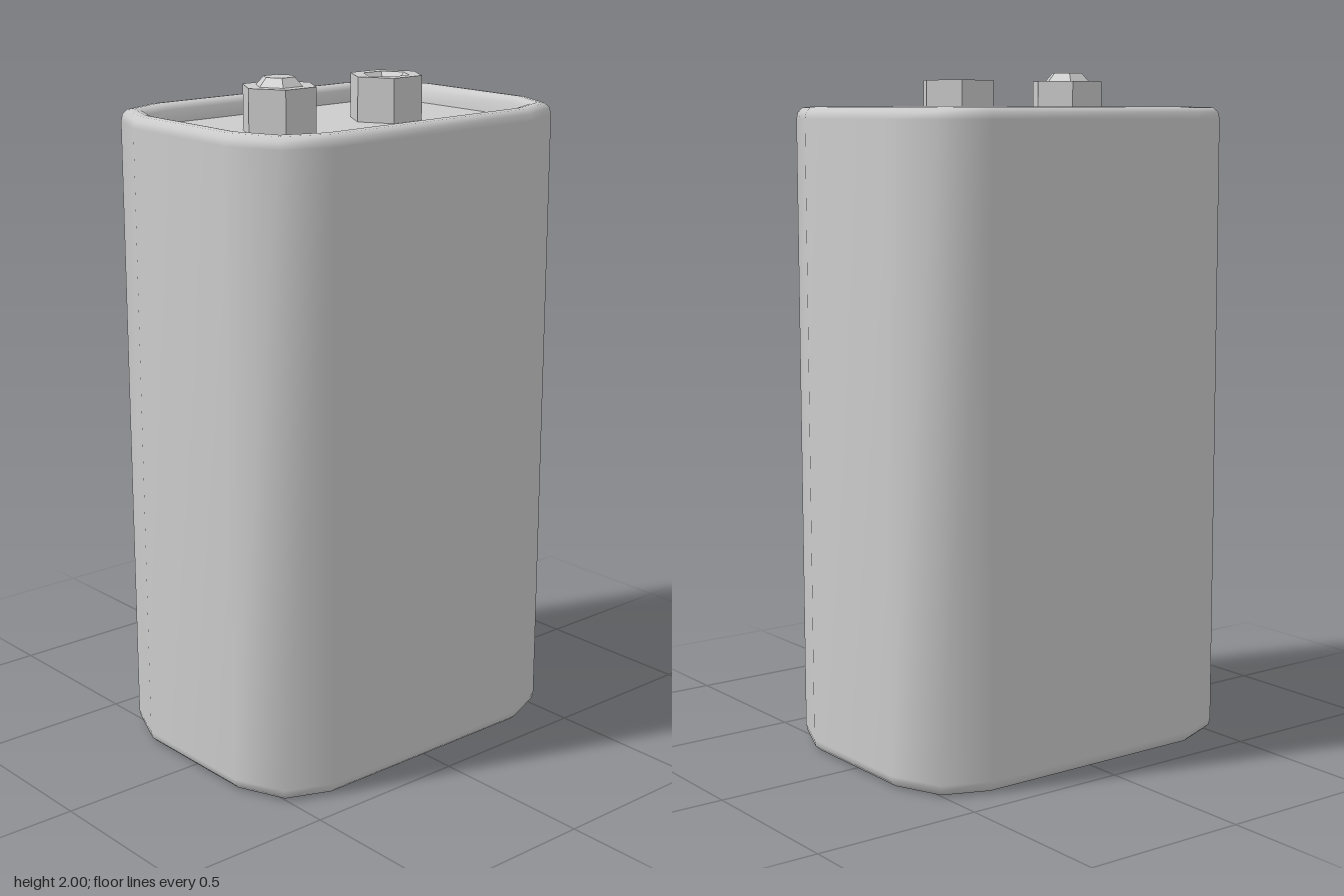
import * as THREE from 'three';

const material = new THREE.MeshStandardMaterial({ color: 0xcccccc });
const facetedMaterial = new THREE.MeshStandardMaterial({ color: 0xcccccc, flatShading: true });

// Mirror one quarter of a chamfered outline into a closed 12-sided loop.
function mirrorQuarter(quarter) {
  const back = [...quarter].reverse();
  return [
    ...quarter,
    ...back.map(([x, z]) => [-x, z]),
    ...quarter.map(([x, z]) => [-x, -z]),
    ...back.map(([x, z]) => [x, -z]),
  ];
}

const outer = mirrorQuarter([[0.573, 0.205], [0.51, 0.355], [0.37, 0.413]]);
const inner = mirrorQuarter([[0.503, 0.192], [0.458, 0.298], [0.355, 0.339]]);

// Casing: rings [inset, y] run from the bottom recess, up the wall, into the top recess.
function casingGeometry() {
  const rim = [[0, 0.035], [0.06, 0.015], [0.25, 0.002], [0.5, 0], [0.75, 0.004], [0.93, 0.018], [1, 0.055]];
  const rings = [...[...rim].reverse(), ...rim.map(([t, y]) => [t, 1.9 - y])];
  const n = outer.length;
  const positions = [];
  const index = [];
  rings.forEach(([t, y], j) => {
    for (let i = 0; i < n; i++) {
      positions.push(
        THREE.MathUtils.lerp(outer[i][0], inner[i][0], t),
        y,
        THREE.MathUtils.lerp(outer[i][1], inner[i][1], t)
      );
      if (j === rings.length - 1) continue;
      const a = j * n + i;
      const b = j * n + ((i + 1) % n);
      index.push(a, a + n, b, b, a + n, b + n);
    }
  });
  const geometry = new THREE.BufferGeometry();
  geometry.setAttribute('position', new THREE.Float32BufferAttribute(positions, 3));
  geometry.setIndex(index);
  geometry.computeVertexNormals();
  return geometry;
}

// Flat recessed end panel; facing is 1 for up, -1 for down.
function panelGeometry(y, facing) {
  const shape = new THREE.Shape(inner.map(([x, z]) => new THREE.Vector2(x, z)));
  return new THREE.ShapeGeometry(shape).rotateX(-facing * Math.PI / 2).translate(0, y, 0);
}

// Hexagonal terminal whose tip is either raised or sunken.
function terminalGeometry(tipY) {
  const profile = [[0.11, 1.84], [0.11, 1.975], [0.07, 1.975], [0.047, tipY], [0, tipY]];
  const points = profile.map(([r, y]) => new THREE.Vector2(r, y));
  return new THREE.LatheGeometry(points, 6, Math.PI / 2);
}

export function createModel() {
  const group = new THREE.Group();
  group.name = 'battery';

  const add = (name, geometry, mat = material) => {
    const mesh = new THREE.Mesh(geometry, mat);
    mesh.name = name;
    group.add(mesh);
    return mesh;
  };

  add('casing', casingGeometry());
  add('topPanel', panelGeometry(1.845, 1));
  add('bottomPanel', panelGeometry(0.055, -1));
  add('raisedTerminal', terminalGeometry(2.0), facetedMaterial).position.x = -0.218;
  add('sunkenTerminal', terminalGeometry(1.95), facetedMaterial).position.x = 0.184;

  return group;
}
